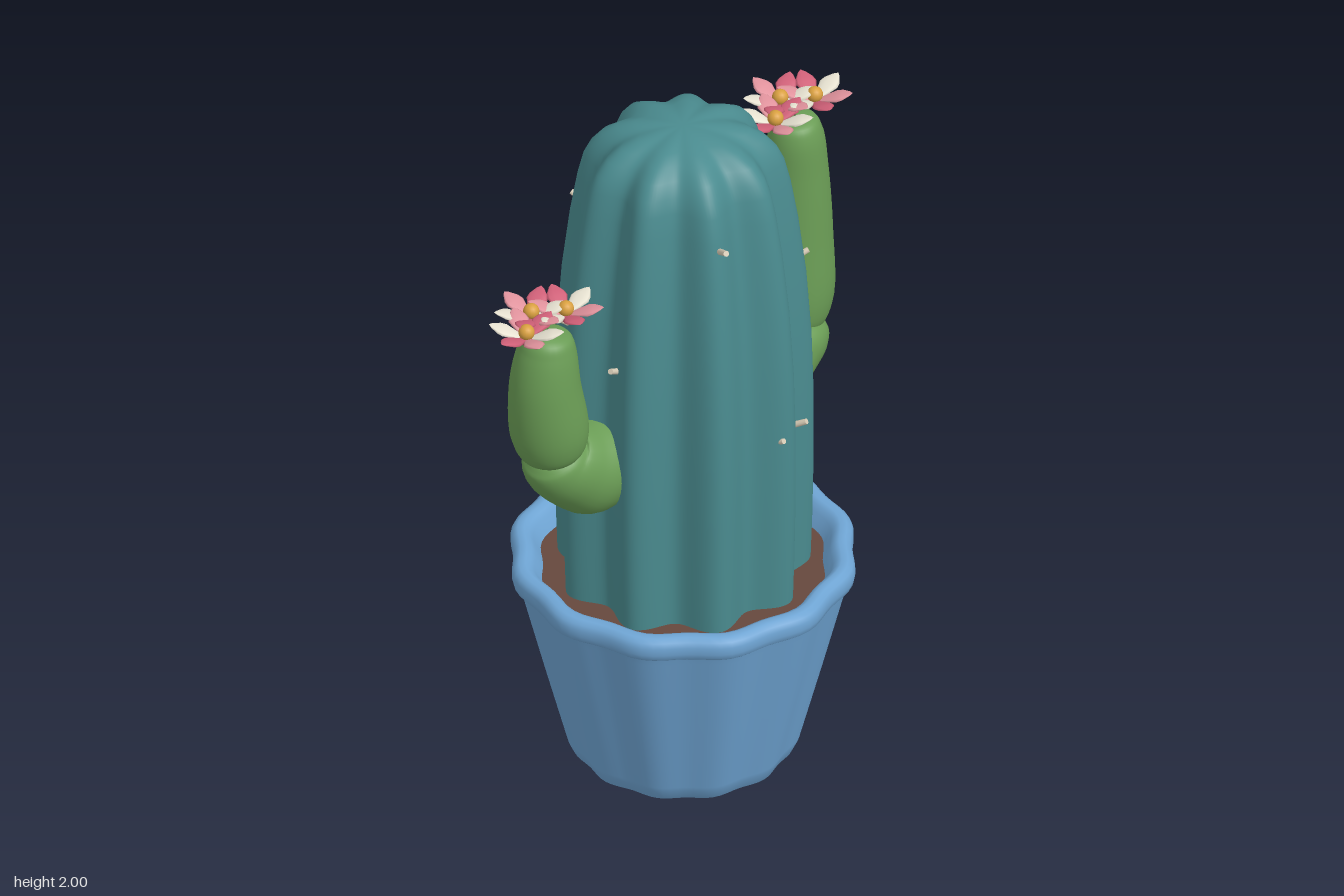
import * as THREE from 'three';
import { mergeVertices } from 'three/addons/utils/BufferGeometryUtils.js';

const mat = (name, color) => {
  const m = new THREE.MeshStandardMaterial({ color });
  m.name = name;
  return m;
};

// Lathe whose radius is multiplied by wave(angle), with seamless smooth normals
function wavyLathe(profile, segments, wave) {
  let g = new THREE.LatheGeometry(profile.map(([r, y]) => new THREE.Vector2(r, y)), segments);
  g.deleteAttribute('uv');
  g.deleteAttribute('normal');
  const p = g.attributes.position;
  for (let i = 0; i < p.count; i++) {
    const x = p.getX(i), z = p.getZ(i), k = wave(Math.atan2(z, x));
    p.setX(i, x * k);
    p.setZ(i, z * k);
  }
  g = mergeVertices(g, 1e-5);
  g.computeVertexNormals();
  return g;
}

// Round limb through [x, y, radius] stations in the xy plane
function limb(stations, depth) {
  const curve = new THREE.CatmullRomCurve3(stations.map((s) => new THREE.Vector3(...s)));
  const rings = 40, sides = 28, pos = [], idx = [];
  for (let i = 0; i <= rings; i++) {
    const c = curve.getPoint(i / rings), t = curve.getTangent(i / rings);
    const len = Math.hypot(t.x, t.y) || 1, r = Math.max(c.z, 0.001);
    for (let j = 0; j < sides; j++) {
      const a = (j / sides) * Math.PI * 2, u = Math.cos(a) * r;
      pos.push(c.x - (t.y / len) * u, c.y + (t.x / len) * u, Math.sin(a) * r * depth);
      if (i < rings) {
        const a0 = i * sides + j, b0 = i * sides + (j + 1) % sides;
        idx.push(a0, b0, a0 + sides, b0, b0 + sides, a0 + sides);
      }
    }
  }
  const g = new THREE.BufferGeometry();
  g.setAttribute('position', new THREE.Float32BufferAttribute(pos, 3));
  g.setIndex(idx);
  g.computeVertexNormals();
  return g;
}

export function createModel() {
  const teal = mat('cactus teal', 0x4a8b8f), green = mat('arm green', 0x6a9c55);
  const blue = mat('pot blue', 0x6fa5d4), brown = mat('soil brown', 0x66483d);
  const pink = mat('light pink', 0xe0929c), rose = mat('deep pink', 0xd06078);
  const cream = mat('petal cream', 0xe8e3d2), gold = mat('flower gold', 0xd9a040);
  const beige = mat('spine beige', 0xd8ccb6);

  const model = new THREE.Group();
  const add = (parent, name, geometry, material, x = 0, y = 0, z = 0) => {
    const m = new THREE.Mesh(geometry, material);
    m.name = name;
    m.position.set(x, y, z);
    parent.add(m);
    return m;
  };

  // Pot with twelve soft corners, a rolled rim and an inner wall down to the soil
  add(model, 'pot', wavyLathe([
    [0, 0], [0.28, 0], [0.29, 0.002], [0.3, 0.01], [0.314, 0.04], [0.319, 0.055],
    [0.382, 0.3], [0.442, 0.54], [0.446, 0.558], [0.449, 0.566], [0.458, 0.568],
    [0.465, 0.574], [0.469, 0.59], [0.469, 0.61], [0.463, 0.625], [0.45, 0.634],
    [0.432, 0.635], [0.418, 0.628], [0.407, 0.612], [0.394, 0.59], [0.382, 0.565], [0.376, 0.55],
  ], 96, (a) => 0.982 + 0.018 * Math.cos(12 * a)), blue);
  add(model, 'soil', new THREE.CylinderGeometry(0.388, 0.388, 0.03, 48), brown, 0, 0.56, 0);

  // Main body with nine ribs
  add(model, 'body', wavyLathe([
    [0.342, 0.55], [0.347, 0.7], [0.351, 0.9], [0.351, 1.1], [0.345, 1.3], [0.331, 1.5],
    [0.309, 1.68], [0.289, 1.8], [0.272, 1.87], [0.253, 1.91], [0.222, 1.947],
    [0.18, 1.973], [0.13, 1.989], [0.07, 1.998], [0.03, 2], [0, 2],
  ], 180, (a) => 0.92 + 0.08 * Math.cos(9 * a)), teal);

  // Arms, each a forearm bulging from the body and an upright upper part
  const armZ = -0.04;
  add(model, 'leftForearm', limb([
    [0.276, 0.955, 0.005], [0.283, 0.962, 0.055], [0.305, 0.982, 0.09], [0.345, 1.012, 0.109],
    [0.405, 1.06, 0.111], [0.45, 1.1, 0.106], [0.468, 1.13, 0.085], [0.473, 1.155, 0.005],
  ], 1.16), green, 0, 0, armZ);
  add(model, 'leftUpperArm', limb([
    [0.445, 1.1, 0.01], [0.45, 1.12, 0.085], [0.467, 1.19, 0.108], [0.48, 1.4, 0.099],
    [0.482, 1.6, 0.085], [0.478, 1.72, 0.073], [0.476, 1.757, 0.055], [0.475, 1.77, 0.002],
  ], 1), green, 0, 0, armZ);
  add(model, 'rightForearm', limb([
    [-0.22, 1.01, 0.005], [-0.24, 1.02, 0.1], [-0.32, 1.04, 0.136], [-0.39, 1.075, 0.12],
    [-0.445, 1.115, 0.1], [-0.464, 1.15, 0.08], [-0.468, 1.17, 0.005],
  ], 0.96), green, 0, 0, armZ);
  add(model, 'rightUpperArm', limb([
    [-0.457, 1.13, 0.01], [-0.46, 1.155, 0.08], [-0.472, 1.22, 0.105], [-0.491, 1.38, 0.097],
    [-0.484, 1.5, 0.079], [-0.482, 1.54, 0.062], [-0.48, 1.56, 0.002],
  ], 1), green, 0, 0, armZ);

  // Petal: pointed, flattened oval running along +x from the flower centre
  const petalGeo = new THREE.LatheGeometry(
    [[0, 0], [0.01, 0.01], [0.021, 0.035], [0.029, 0.058], [0.025, 0.074], [0.011, 0.094], [0, 0.103]]
      .map(([r, y]) => new THREE.Vector2(r, y)), 10);
  petalGeo.rotateZ(-Math.PI / 2).scale(1, 0.25, 1).rotateZ(0.33).translate(0.005, 0, 0);
  const stemGeo = new THREE.CylinderGeometry(0.022, 0.012, 0.024, 10);
  const centreGeo = new THREE.SphereGeometry(0.022, 16, 12);

  function flower(x, y, z, turn, shift) {
    const f = new THREE.Group();
    f.name = 'flower';
    f.position.set(x, y, z);
    for (let i = 0; i < 6; i++) {
      const petal = add(f, 'petal', petalGeo, [cream, rose, pink][(i + shift) % 3]);
      petal.rotation.y = (i / 6) * Math.PI * 2 + turn;
    }
    add(f, 'flowerBase', stemGeo, rose, 0, -0.006, 0);
    add(f, 'flowerCentre', centreGeo, gold, 0, 0.02, 0);
    model.add(f);
  }

  // Three flowers on each arm
  for (const [x, y] of [[0.481, 1.774], [-0.481, 1.567]]) {
    flower(x - 0.076, y, -0.045, 0.06, 1);
    flower(x, y + 0.003, -0.1, 0.5, 1);
    flower(x + 0.076, y, -0.045, 0.1, 0);
  }

  // Scattered spines, pointing outward and slightly up
  const spineGeo = new THREE.CylinderGeometry(0.008, 0.009, 0.056, 10);
  const up = new THREE.Vector3(0, 1, 0);
  for (const [x, y, z] of [
    [-0.143, 1.795, 0.285], [0.272, 1.52, 0.17], [0.135, 1.1, 0.295], [0.025, 1.11, 0.322],
    [-0.312, 1.38, 0.05], [-0.24, 1.38, -0.22], [-0.085, 1.66, -0.3], [0.1, 1.24, -0.315],
    [0.193, 1.24, -0.26], [0.311, 0.815, -0.108],
  ]) {
    const spine = add(model, 'spine', spineGeo, beige, x, y, z);
    spine.quaternion.setFromUnitVectors(up, new THREE.Vector3(x, 0.17, z).normalize());
  }
  return model;
}
